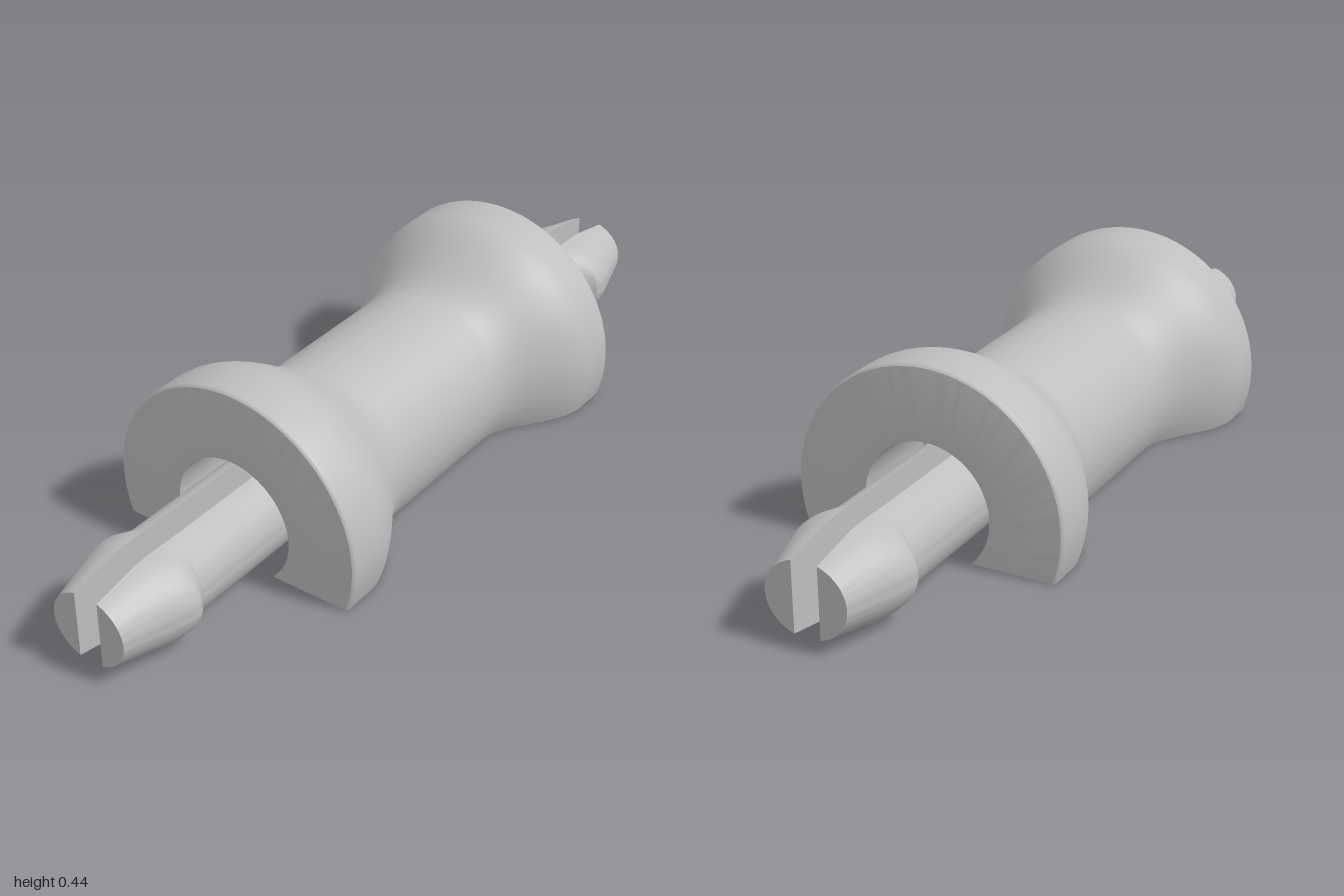
import * as THREE from 'three';
import { toCreasedNormals } from 'three/addons/utils/BufferGeometryUtils.js';

const AXIS = 0.11; // height of the long axis above the flat base

// Surface through a grid of points given as rows of [x, y, z]
function loft(rows) {
  const cols = rows[0].length;
  const index = [];
  for (let i = 0; i < rows.length - 1; i++) {
    for (let j = 0; j < cols - 1; j++) {
      const a = i * cols + j, b = a + 1, c = a + cols, d = c + 1;
      index.push(a, b, c, b, d, c);
    }
  }
  const geo = new THREE.BufferGeometry();
  geo.setAttribute('position', new THREE.Float32BufferAttribute(rows.flat(2), 3));
  geo.setIndex(index);
  return toCreasedNormals(geo, 0.45);
}

// Half of the body profile [x, radius], from pocket floor to the waist
function halfProfile() {
  const pts = [[0.29, 0.0001], [0.29, AXIS], [0.29, 0.155], [0.535, 0.155], [0.535, 0.322]];
  for (let k = 1; k <= 4; k++) {
    const t = (k / 4) * Math.PI / 2;
    pts.push([0.523 + 0.012 * Math.cos(t), 0.322 + 0.009 * Math.sin(t)]);
  }
  const flare = new THREE.CubicBezierCurve(
    new THREE.Vector2(0.45, 0.331), new THREE.Vector2(0.35, 0.331),
    new THREE.Vector2(0.28, 0.222), new THREE.Vector2(0.19, 0.221));
  flare.getPoints(18).forEach((p) => pts.push([p.x, p.y]));
  return pts;
}

// Half a split pin: D-shaped sections, widened at the barb and tapered to the tip
function prongGeometry() {
  const gap = 0.031, steps = 32;
  const stations = [ // x, half width, half height
    [0.29, 0.114, 0.111], [0.775, 0.114, 0.111], [0.785, 0.122, 0.111], [0.808, 0.143, 0.111],
    [0.82, 0.146, 0.111], [0.845, 0.144, 0.111], [0.88, 0.134, 0.109], [1, 0.097, 0.087],
  ];
  const rows = stations.map(([x, a, b]) => {
    const end = Math.acos(gap / a);
    const ring = [];
    for (let j = 0; j <= steps; j++) {
      const t = end * (1 - (2 * j) / steps);
      ring.push([x, b * Math.sin(t), a * Math.cos(t)]);
    }
    ring.push([...ring[0]]);
    return ring;
  });
  rows.push(rows[0].map(() => [1, 0, 0.05])); // flat tip
  return loft(rows);
}

export function createModel() {
  const model = new THREE.Group();
  const grey = new THREE.MeshStandardMaterial({ color: 0xbebebe });
  grey.name = 'grey';
  const add = (parent, name, geo) => {
    const mesh = new THREE.Mesh(geo, grey);
    mesh.name = name;
    parent.add(mesh);
    return mesh;
  };

  // Spool body with end pockets, trimmed flat at y = 0
  const half = halfProfile();
  const profile = [...half, ...half.slice().reverse().map(([x, r]) => [-x, r])];
  const arcSteps = 96;
  add(model, 'body', loft(profile.map(([x, r]) => {
    const dip = Math.asin(Math.min(1, AXIS / r));
    const row = [];
    for (let j = 0; j <= arcSteps; j++) {
      const t = -dip + (Math.PI + 2 * dip) * (j / arcSteps);
      row.push([x, AXIS + r * Math.sin(t), r * Math.cos(t)]);
    }
    return row;
  })));

  // Flat underside, following the trimmed profile
  const edge = profile.filter(([, r]) => r > AXIS)
    .map(([x, r]) => new THREE.Vector2(x, Math.sqrt(r * r - AXIS * AXIS)));
  const mirrored = edge.slice().reverse().map((p) => new THREE.Vector2(p.x, -p.y));
  add(model, 'underside',
    new THREE.ShapeGeometry(new THREE.Shape([...edge, ...mirrored])).rotateX(Math.PI / 2));

  // Rounded end of the slit between the prongs
  const root = new THREE.Shape();
  root.moveTo(0.29, -0.031);
  root.lineTo(0.327, -0.031);
  root.absarc(0.327, 0, 0.031, -Math.PI / 2, Math.PI / 2, true);
  root.lineTo(0.29, 0.031);
  root.closePath();
  const rootGeo = toCreasedNormals(
    new THREE.ExtrudeGeometry(root, { depth: 0.215, bevelEnabled: false, curveSegments: 16 })
      .rotateX(Math.PI / 2).translate(0, 0.215, 0), 0.5);

  // Split pin at each end
  const prong = prongGeometry();
  ['leftPin', 'rightPin'].forEach((name, i) => {
    const pin = new THREE.Group();
    pin.name = name;
    pin.rotation.y = i * Math.PI;
    add(pin, 'slitEnd', rootGeo);
    for (const turn of [0, Math.PI]) {
      const mesh = add(pin, turn ? 'backProng' : 'frontProng', prong);
      mesh.position.y = 0.111;
      mesh.rotation.x = turn;
    }
    model.add(pin);
  });
  return model;
}
